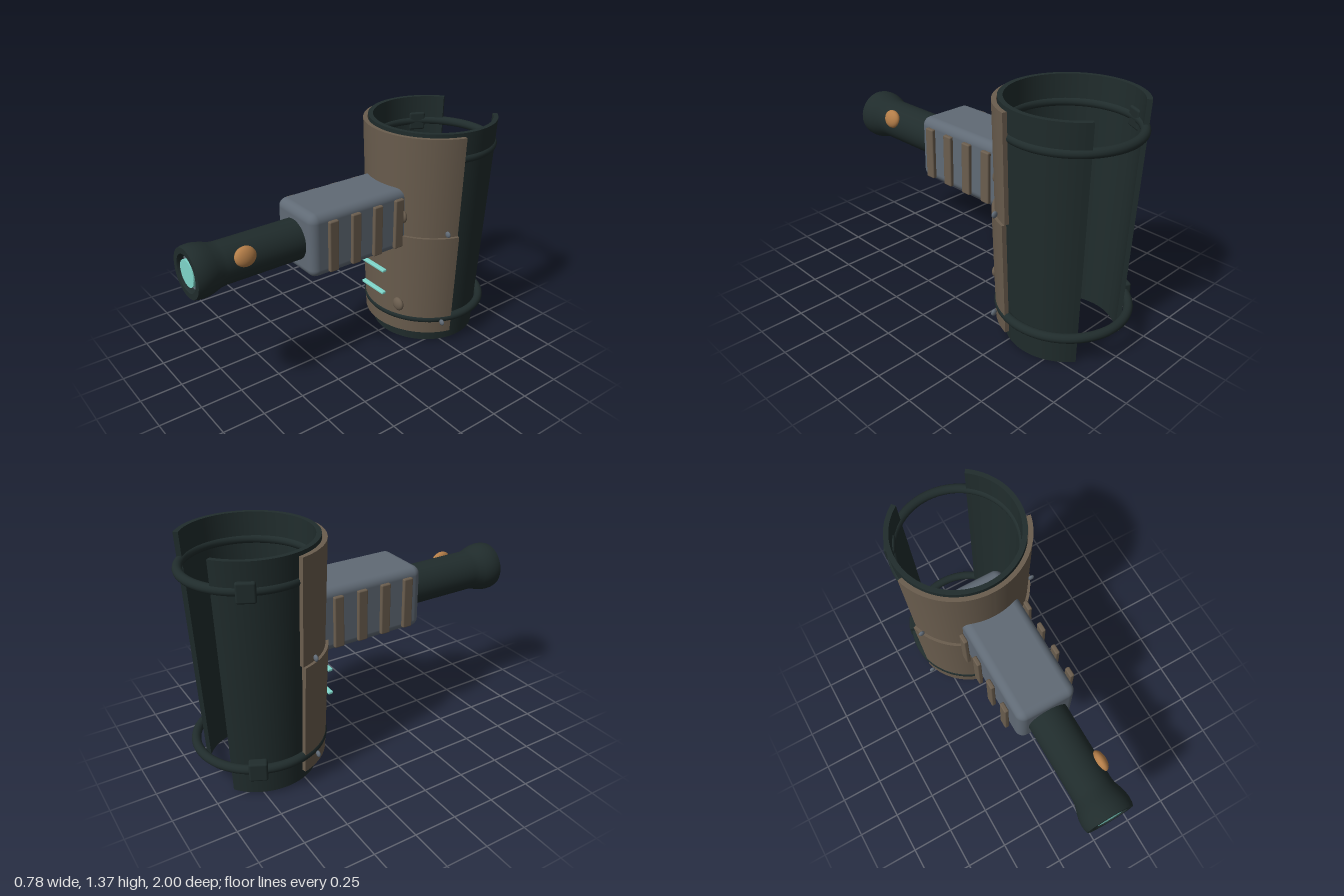
import * as THREE from 'three';
import { toCreasedNormals } from 'three/addons/utils/BufferGeometryUtils.js';
import { RoundedBoxGeometry } from 'three/addons/geometries/RoundedBoxGeometry.js';

const mat = (name, color) => {
  const m = new THREE.MeshStandardMaterial({ color });
  m.name = name;
  return m;
};

const AXIS_Z = -0.62; // centre line of the sleeve

// Curved, tapered wall facing +z, spanning +-halfAngle around the y axis
function shell(y0, y1, r0, r1, thickness, halfAngle) {
  const s = new THREE.Shape();
  const mid = -Math.PI / 2;
  s.absarc(0, 0, 1, mid - halfAngle, mid + halfAngle, false);
  s.absarc(0, 0, 1 - thickness / r1, mid + halfAngle, mid - halfAngle, true);
  s.closePath();
  const g = new THREE.ExtrudeGeometry(s, { depth: 1, bevelEnabled: false, curveSegments: 56 });
  g.rotateX(-Math.PI / 2);
  const p = g.attributes.position;
  for (let i = 0; i < p.count; i++) {
    const t = p.getY(i);
    const r = r0 + (r1 - r0) * t;
    p.setXYZ(i, p.getX(i) * r, y0 + (y1 - y0) * t, p.getZ(i) * r + AXIS_Z);
  }
  return toCreasedNormals(g, 0.6);
}

export function createModel() {
  const model = new THREE.Group();
  model.name = 'wristLight';
  const dark = mat('dark rubber', 0x202c2c);
  const brown = mat('brown plate', 0x6a5d4e);
  const grey = mat('grey metal', 0x606a75);
  const teal = mat('teal light', 0x7fd6ca);
  const copper = mat('copper button', 0xb37d48);

  const add = (name, geometry, material, x = 0, y = 0, z = 0) => {
    const m = new THREE.Mesh(geometry, material);
    m.name = name;
    m.position.set(x, y, z);
    model.add(m);
    return m;
  };
  const deg = THREE.MathUtils.degToRad;

  // Open-backed sleeve and its two front plates
  add('sleeve', shell(0, 1.365, 0.32, 0.375, 0.028, deg(144)), dark);
  add('upperPlate', shell(0.745, 1.345, 0.382, 0.404, 0.026, deg(75)), brown);
  add('lowerPlate', shell(0.085, 0.745, 0.37, 0.399, 0.026, deg(75)), brown);

  // Straps with buckles
  for (const y of [0.18, 1.21]) {
    const ring = add('strap', new THREE.TorusGeometry(0.355, 0.026, 14, 72), dark, 0, y, AXIS_Z);
    ring.rotation.x = Math.PI / 2;
    const a = deg(-117);
    const buckle = add('buckle', new RoundedBoxGeometry(0.1, 0.11, 0.06, 2, 0.012), dark,
      Math.sin(a) * 0.36, y, AXIS_Z + Math.cos(a) * 0.36);
    buckle.rotation.y = a;
  }

  // Housing that passes through the sleeve wall, with side ribs
  add('housing', new RoundedBoxGeometry(0.35, 0.375, 0.85, 5, 0.05), grey, 0, 0.848, -0.065);
  for (const side of [-1, 1]) {
    for (let i = 0; i < 4; i++) {
      add('rib', new RoundedBoxGeometry(0.026, 0.3, 0.06, 2, 0.008), brown,
        side * 0.201, 0.85, 0.24 - i * 0.15);
    }
  }

  // Barrel with a flared head and a recessed mouth
  const profile = [
    [0.118, 0.3], [0.118, 0.82], [0.122, 0.85], [0.134, 0.885], [0.143, 0.92],
    [0.146, 0.95], [0.144, 0.98], [0.138, 1], [0.105, 1], [0.1, 0.99], [0.1, 0.94],
  ].map(([r, z]) => new THREE.Vector2(r, z));
  const barrel = toCreasedNormals(new THREE.LatheGeometry(profile, 40), 0.7);
  barrel.rotateX(Math.PI / 2);
  add('barrel', barrel, dark, 0, 0.848, 0);

  // Lens in its bezel
  const disc = (r, depth) => new THREE.CylinderGeometry(r, r, depth, 40).rotateX(Math.PI / 2);
  add('lensBezel', disc(0.101, 0.03), grey, 0, 0.848, 0.95);
  add('lens', disc(0.075, 0.04), teal, 0, 0.848, 0.975);

  // Switch on the barrel
  const knob = add('switchButton', new THREE.SphereGeometry(1, 28, 18), copper, 0.108, 0.903, 0.72);
  knob.scale.set(0.032, 0.055, 0.062);
  knob.rotation.z = deg(12);

  // Light strips under the housing
  for (const y of [0.345, 0.497, 0.648]) {
    add('lightStrip', new RoundedBoxGeometry(0.2, 0.018, 0.03, 2, 0.006), teal, 0, y, -0.205);
  }

  // Domed studs on the plates
  for (const y of [0.275, 0.865]) {
    const stud = add('stud', new THREE.SphereGeometry(0.042, 24, 16), brown, 0.16, y, -0.268);
    stud.scale.z = 0.55;
  }

  // Small rivets along the plate sides
  for (const side of [-1, 1]) {
    for (const y of [0.178, 0.775]) {
      const rivet = add('rivet', new THREE.SphereGeometry(0.019, 16, 12), grey, side * 0.365, y, -0.445);
      rivet.scale.z = 0.55;
    }
  }
  return model;
}
